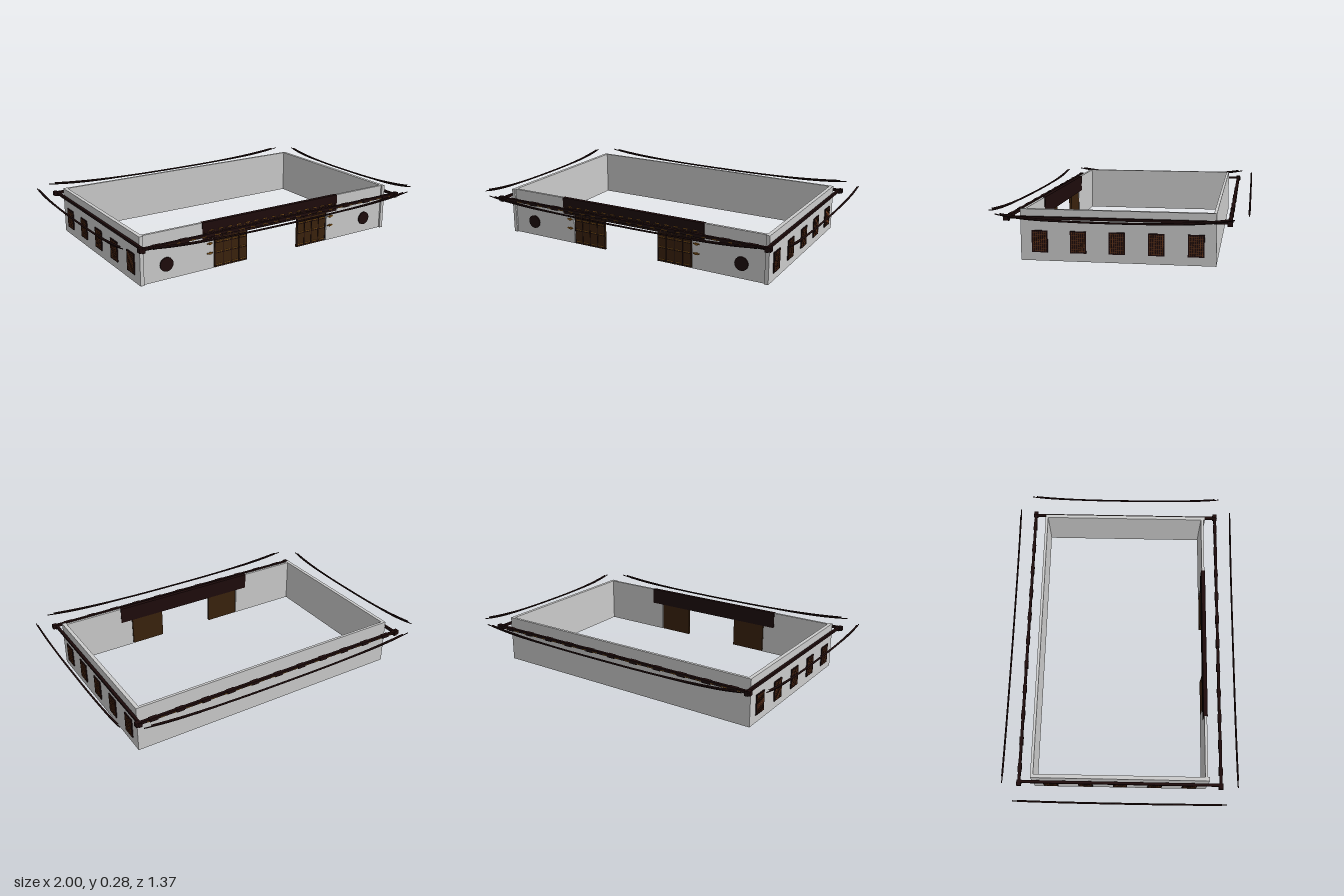
import * as THREE from 'three';

const mat = (name, color) => {
  const m = new THREE.MeshStandardMaterial({ color });
  m.name = name;
  return m;
};

export function createModel() {
  const root = new THREE.Group();
  root.name = 'courtyardWalls';
  const plaster = mat('plaster', 0xcbcbcb);
  const darkWood = mat('darkWood', 0x1d0b0b);
  const doorWood = mat('doorWood', 0x3a220c);
  const lattice = mat('latticeWood', 0x64351a);
  const gold = mat('gold', 0x8a5a1c);

  // Box given by its centre and size
  const box = (name, material, x, y, z, w, h, d, parent = root) => {
    const m = new THREE.Mesh(new THREE.BoxGeometry(w, h, d), material);
    m.name = name;
    m.position.set(x, y, z);
    parent.add(m);
    return m;
  };

  // Plaster walls, with a wide opening in the front
  const H = 0.277;
  box('backWall', plaster, 0, H / 2, -0.51, 1.72, H, 0.016);
  for (const s of [-1, 1]) {
    box('sideWall', plaster, s * 0.849, H / 2, 0, 0.022, H, 1.036);
    box('frontWall', plaster, s * 0.62, H / 2, 0.5, 0.44, H, 0.016);
  }

  // Round windows in the front wall
  for (const s of [-1, 1]) {
    const disc = new THREE.Mesh(new THREE.CylinderGeometry(0.04, 0.04, 0.008, 24), darkWood);
    disc.name = 'roundWindow';
    disc.rotation.x = Math.PI / 2;
    disc.position.set(s * 0.7, 0.088, 0.511);
    root.add(disc);
  }

  // Lattice windows, five on each side wall
  for (const s of [-1, 1]) {
    for (let i = -2; i <= 2; i++) {
      const win = new THREE.Group();
      win.name = 'latticeWindow';
      win.position.set(s * 0.862, 0.105, i * 0.207);
      root.add(win);
      box('windowPanel', darkWood, 0, 0, 0, 0.008, 0.118, 0.086, win);
      for (let k = -3; k <= 3; k++) {
        box('windowBar', lattice, s * 0.004, 0, k * 0.011, 0.003, 0.106, 0.003, win);
      }
      for (let k = -4; k <= 4; k++) {
        box('windowCrossbar', lattice, s * 0.004, k * 0.012, 0, 0.002, 0.0018, 0.074, win);
      }
    }
  }

  // Panelled doors on both sides of the entrance
  for (const s of [-1, 1]) {
    const door = new THREE.Group();
    door.name = 'door';
    door.position.set(s * 0.287, 0, 0.5);
    root.add(door);
    box('doorPanel', doorWood, 0, 0.1, 0, 0.216, 0.2, 0.012, door);
    for (let k = 0; k <= 4; k++) {
      box('doorStile', darkWood, -0.106 + k * 0.053, 0.1, 0.007, 0.003, 0.2, 0.003, door);
    }
    for (const y of [0.015, 0.09, 0.15]) {
      box('doorRail', darkWood, 0, y - 0.006, 0.007, 0.214, 0.0025, 0.003, door);
      for (let k = 0; k < 4; k++) {
        box('doorOrnament', gold, -0.08 + k * 0.053, y, 0.007, 0.036, 0.004, 0.004, door);
      }
    }
    // Small brackets on the wall beside the door
    for (const y of [0.093, 0.15]) {
      box('wallBracket', gold, s * 0.428, y, 0.51, 0.036, 0.006, 0.008);
      box('wallBracketKnob', gold, s * 0.428, y, 0.513, 0.014, 0.013, 0.005);
    }
  }

  // Lintel over the entrance, with a row of slats on its lower half
  box('lintel', darkWood, 0, 0.252, 0.5, 0.95, 0.052, 0.024);
  box('lintelSkirt', darkWood, 0, 0.202, 0.5, 0.95, 0.05, 0.02);
  for (let i = 0; i < 40; i++) {
    box('lintelSlat', doorWood, -0.462 + i * 0.0237, 0.202, 0.511, 0.004, 0.044, 0.003);
  }
  for (let i = -7; i <= 7; i++) {
    box('lintelOrnament', gold, i * 0.06, 0.228, 0.513, 0.026, 0.004, 0.003);
  }

  // Eave beams crossing at the corners, with brackets and gilded inlays
  for (const s of [-1, 1]) {
    const z = s * 0.586;
    box('longBeam', darkWood, 0, 0.234, z, 1.8, 0.016, 0.016);
    box('sideBeam', darkWood, s * 0.876, 0.234, 0, 0.016, 0.014, 1.2);
    for (let i = -5; i <= 5; i++) {
      box('beamBracket', darkWood, i * 0.159, 0.233, z, 0.05, 0.02, 0.022);
    }
    for (let i = 0; i < 22; i++) {
      const x = -0.82 + i * 0.078;
      box('beamInlay', gold, x, 0.226, z, 0.036, 0.003, 0.01);
      box('beamInlay', gold, x, 0.23, z + s * 0.008, 0.036, 0.004, 0.003);
    }
    for (const t of [-1, 1]) {
      box('beamEnd', darkWood, t * 0.888, 0.232, z, 0.024, 0.026, 0.026);
      box('cornerBlock', darkWood, t * 0.876, 0.226, z, 0.02, 0.022, 0.028);
    }
  }

  // Upswept eave ridges: level in the middle, rising to the tips
  const eave = (name, half, rise, power, radius) => {
    const pts = [];
    for (let i = -12; i <= 12; i++) {
      const t = i / 12;
      pts.push(new THREE.Vector3(t * half, 0.238 + rise * Math.abs(t) ** power, 0));
    }
    const m = new THREE.Mesh(
      new THREE.TubeGeometry(new THREE.CatmullRomCurve3(pts), 48, radius, 8), darkWood);
    m.name = name;
    return m;
  };
  for (const s of [-1, 1]) {
    for (const [half, offset, turned] of [[0.895, 0.68, false], [0.612, 0.993, true]]) {
      const g = new THREE.Group();
      g.name = turned ? 'sideEave' : 'longEave';
      g.add(eave('eaveRidge', half * 0.955, 0.032, 2.8, 0.0055));
      g.add(eave('eaveTip', half, 0.032, 4.5, 0.003));
      if (turned) {
        g.rotation.y = Math.PI / 2;
        g.position.x = s * offset;
      } else {
        g.position.z = s * offset;
      }
      root.add(g);
    }
  }
  return root;
}
